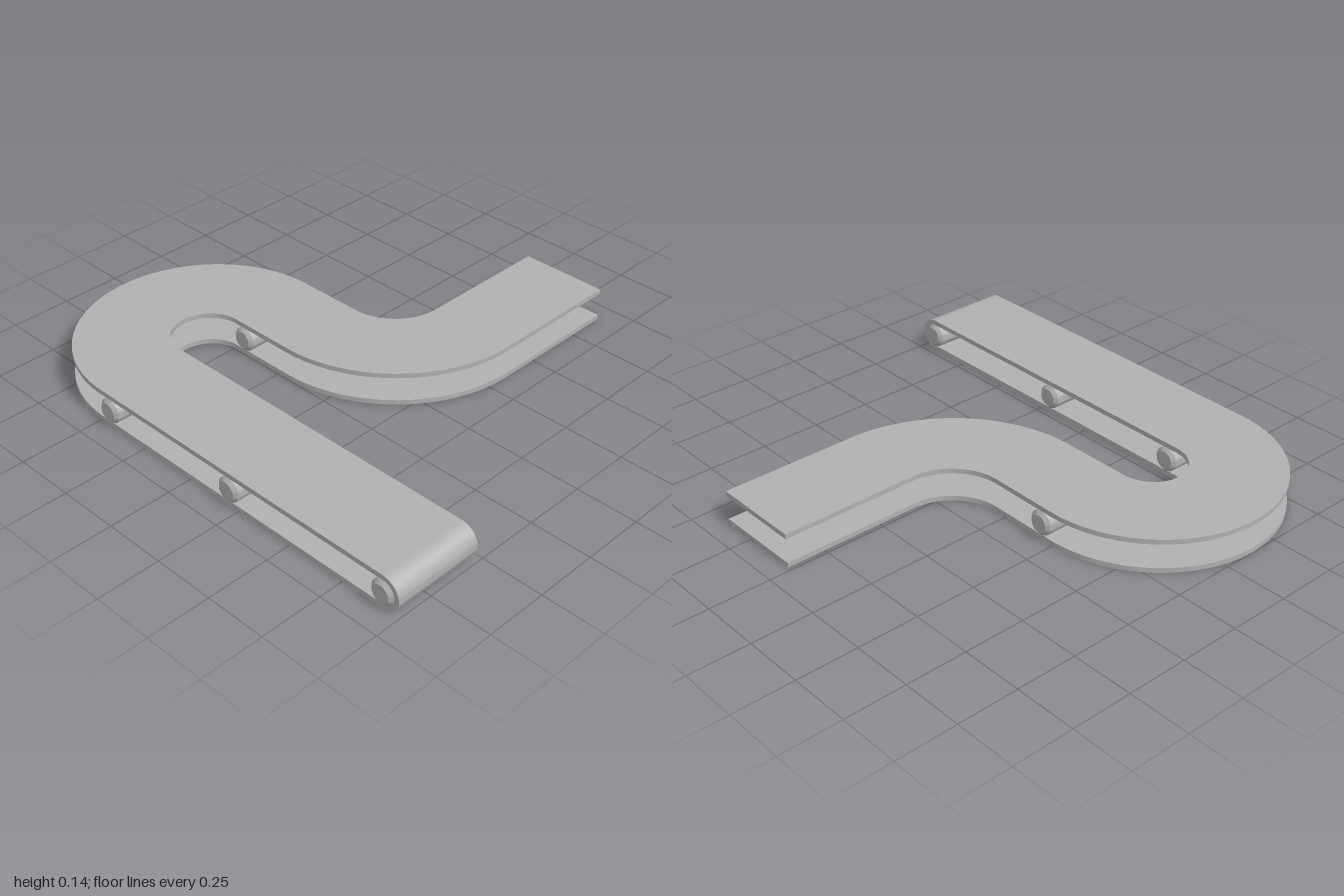
import * as THREE from 'three';
import { toCreasedNormals } from 'three/addons/utils/BufferGeometryUtils.js';

const HALF = 0.185;      // half belt width
const THICK = 0.02;      // belt thickness
const RADIUS = 0.07;     // outer radius of the belt's turn at its end
const END_X = 0.93;      // axis of the end turn
const FRONT_Z = 0.714, BACK_Z = 0.06;
const LIP = 0.03, LIP_H = 0.01;

// Centre line as [x, z, normal x, normal z]
function centreLine() {
  const line = [[END_X, FRONT_Z, 0, 1]];
  const arc = (cx, cz, r, from, to, sign, n) => {
    for (let i = 0; i <= n; i++) {
      const a = from + (to - from) * i / n, c = Math.cos(a), s = Math.sin(a);
      line.push([cx + r * c, cz + r * s, sign * c, sign * s]);
    }
  };
  const r1 = (FRONT_Z - BACK_Z) / 2;
  arc(-1 + HALF + r1, (FRONT_Z + BACK_Z) / 2, r1, Math.PI / 2, Math.PI * 1.5, 1, 56);
  arc(-0.2, BACK_Z - 0.403, 0.403, Math.PI / 2, 0, -1, 32);
  line.push([0.203, -0.91, -1, 0]);
  return line;
}

// Flat strip following the centre line between two side offsets
function strip(line, a, b, y, height) {
  const side = (o) => line.map(([x, z, nx, nz]) => new THREE.Vector2(x + nx * o, z + nz * o));
  const shape = new THREE.Shape([...side(a), ...side(b).reverse()]);
  const geo = new THREE.ExtrudeGeometry(shape, { depth: height, bevelEnabled: false });
  geo.rotateX(Math.PI / 2).translate(0, y + height, 0);
  return toCreasedNormals(geo, 0.5);
}

export function createModel() {
  const group = new THREE.Group();
  const grey = new THREE.MeshStandardMaterial({ color: 0xb0b0b0 });
  grey.name = 'grey';
  const add = (name, geo, x = 0, y = 0, z = 0) => {
    const mesh = new THREE.Mesh(geo, grey);
    mesh.name = name;
    mesh.position.set(x, y, z);
    group.add(mesh);
  };

  // Upper and lower runs of the belt
  const line = centreLine();
  add('upperBelt', strip(line, -HALF, HALF, 2 * RADIUS - THICK, THICK));
  add('lowerBelt', strip(line, -HALF, HALF, LIP_H, THICK - LIP_H));

  // Rim under the lower run
  add('outerLip', strip(line, HALF - LIP, HALF, 0, LIP_H));
  add('innerLip', strip(line, -HALF, -HALF + LIP, 0, LIP_H));
  add('endLip', new THREE.BoxGeometry(LIP, LIP_H, 2 * (HALF - LIP)), END_X - LIP / 2, LIP_H / 2, FRONT_Z);

  // Rounded turn joining both runs
  const turn = new THREE.Shape();
  turn.absarc(0, 0, RADIUS, -Math.PI / 2, Math.PI / 2, false);
  turn.absarc(0, 0, RADIUS - THICK, Math.PI / 2, -Math.PI / 2, true);
  const turnGeo = new THREE.ExtrudeGeometry(turn, { depth: 2 * HALF, bevelEnabled: false, curveSegments: 24 });
  add('beltTurn', toCreasedNormals(turnGeo.translate(0, 0, -HALF), 0.5), END_X, RADIUS, FRONT_Z);

  // Rollers with chamfered ends
  const R = RADIUS - THICK, L = HALF + 0.013;
  const profile = [[0, -L], [0.036, -L], [R, -HALF], [R, HALF], [0.036, L], [0, L]]
    .map(([r, h]) => new THREE.Vector2(r, h));
  const rollerGeo = toCreasedNormals(new THREE.LatheGeometry(profile, 40).rotateX(Math.PI / 2), 0.5);
  [[END_X, FRONT_Z], [0.205, FRONT_Z], [-0.44, FRONT_Z], [-0.44, BACK_Z]]
    .forEach(([x, z], i) => add('roller' + (i + 1), rollerGeo, x, RADIUS, z));

  return group;
}
